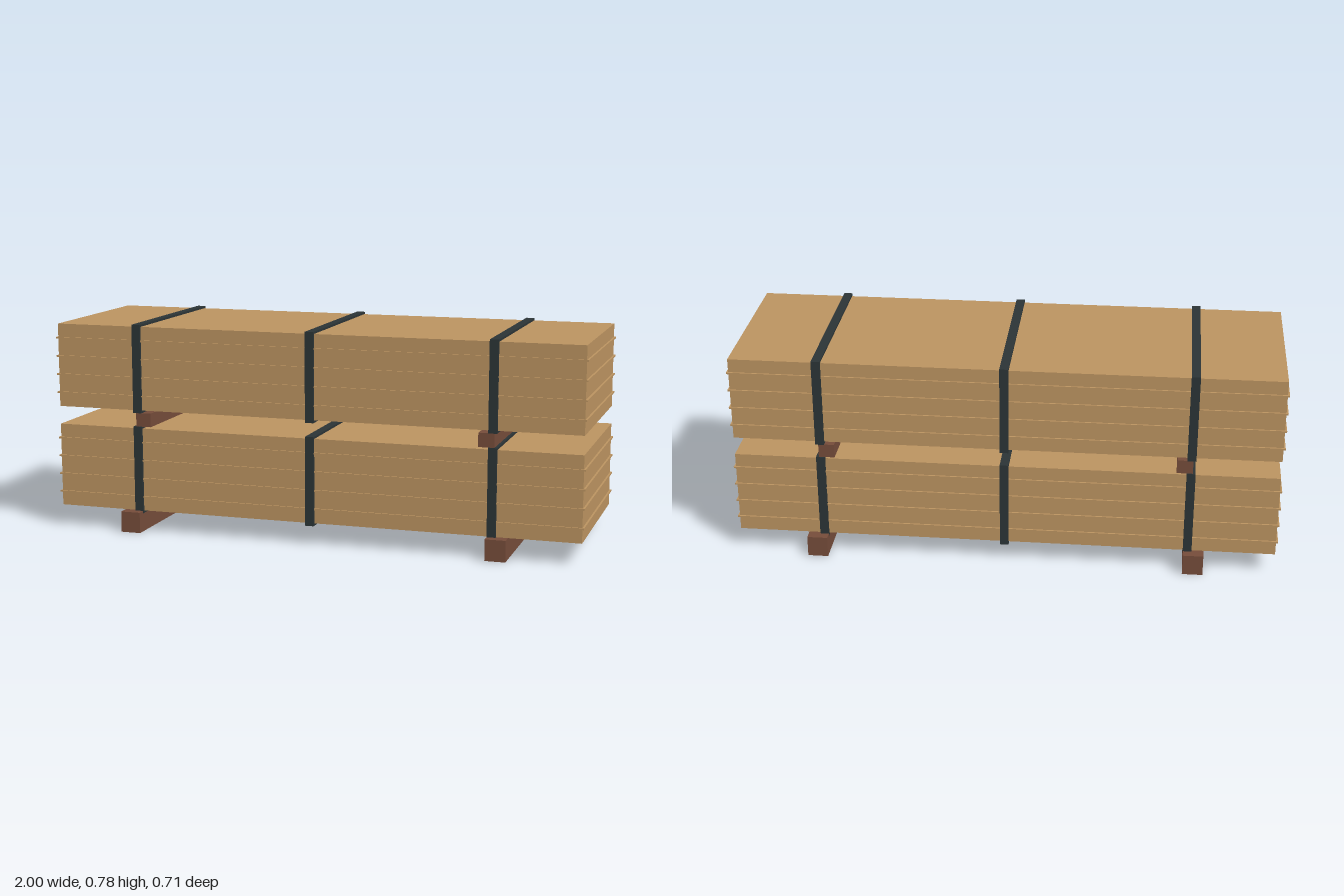
import * as THREE from 'three';

const material = (name, color) => {
  const m = new THREE.MeshStandardMaterial({ color });
  m.name = name;
  return m;
};

export function createModel() {
  const wood = material('wood', 0xbb9360);
  const timber = material('dark timber', 0x754c3a);
  const steel = material('strap steel', 0x2b3436);

  const model = new THREE.Group();
  model.name = 'strappedTimberStack';

  // Box spanning y0..y1, centred on x and z
  function box(parent, name, mat, w, y0, y1, d, x = 0, z = 0) {
    const mesh = new THREE.Mesh(new THREE.BoxGeometry(w, y1 - y0, d), mat);
    mesh.name = name;
    mesh.position.set(x, (y0 + y1) / 2, z);
    parent.add(mesh);
  }

  const halfDepth = 0.315, height = 0.313, t = 0.009;

  // One bundle of boards with its three straps
  function bundle(name, y0) {
    const g = new THREE.Group();
    g.name = name;
    const y1 = y0 + height;
    box(g, 'boards', wood, 1.986, y0, y1, halfDepth * 2);

    // Thin ridges between the board layers
    for (let i = 0; i < 4; i++) {
      const y = y0 + 0.053 + i * 0.069;
      box(g, 'layerRidge', wood, 2, y - 0.003, y + 0.003, 0.642);
    }

    // Straps: top, bottom and two sides
    for (const x of [-0.673, 0, 0.673]) {
      const strap = new THREE.Group();
      strap.name = 'strap';
      const outer = (halfDepth + 0.01) * 2;
      box(strap, 'strapTop', steel, 0.032, y1 - 0.001, y1 + t - 0.001, outer, x);
      box(strap, 'strapBottom', steel, 0.032, y0 - t, y0, outer, x);
      for (const s of [-1, 1]) {
        box(strap, 'strapSide', steel, 0.032, y0, y1 - 0.001, 0.01, x, s * (halfDepth + 0.005));
      }
      g.add(strap);
    }
    model.add(g);
  }

  bundle('lowerBundle', 0.078);
  bundle('upperBundle', 0.459);

  // Ground bearers and the spacers between bundles
  for (const s of [-1, 1]) {
    box(model, 'bearer', timber, 0.075, 0, 0.078, 0.714, s * 0.695);
    box(model, 'spacer', timber, 0.058, 0.399, 0.45, 0.643, s * 0.65);
  }
  return model;
}
